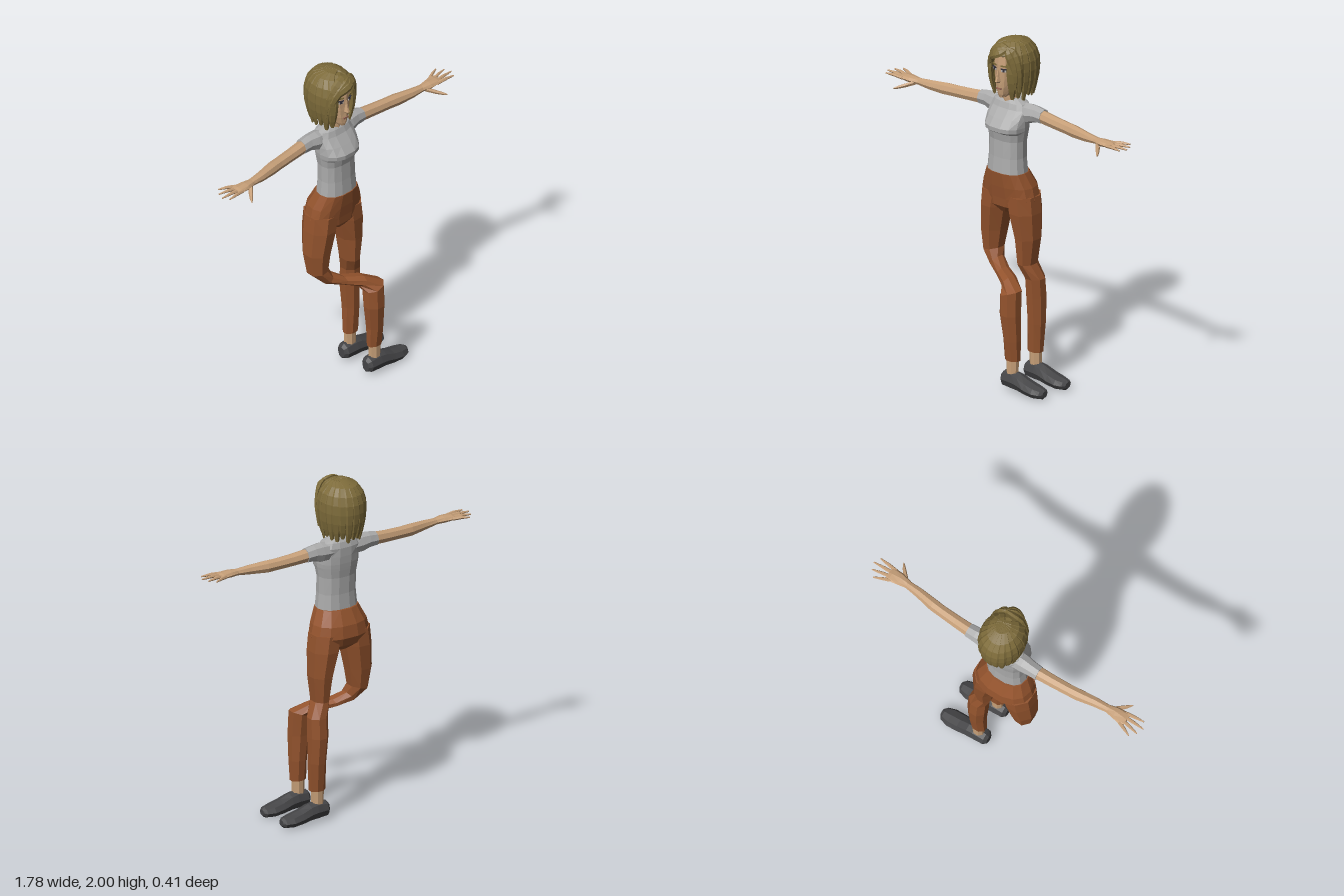
import * as THREE from 'three';

const V = (x, y, z) => new THREE.Vector3(x, y, z);
const mat = (name, color) => {
  const m = new THREE.MeshStandardMaterial({ color });
  m.name = name;
  return m;
};

// Faceted closed solid from loops of points; the winding is set from the signed volume
function solid(loops) {
  const tris = [];
  const n = loops[0].length;
  for (let i = 0; i + 1 < loops.length; i++) {
    for (let j = 0; j < n; j++) {
      const k = (j + 1) % n, a = loops[i], b = loops[i + 1];
      tris.push([a[j], b[j], a[k]], [a[k], b[j], b[k]]);
    }
  }
  const cap = (loop, flip) => {
    const c = loop.reduce((s, p) => s.add(p), V(0, 0, 0)).divideScalar(n);
    loop.forEach((p, j) => {
      const q = loop[(j + 1) % n];
      tris.push(flip ? [c, q, p] : [c, p, q]);
    });
  };
  cap(loops[0], false);
  cap(loops[loops.length - 1], true);
  let volume = 0;
  tris.forEach(([a, b, c]) => { volume += a.dot(b.clone().cross(c)); });
  const pts = tris.flatMap(([a, b, c]) => (volume < 0 ? [a, c, b] : [a, b, c]));
  const g = new THREE.BufferGeometry().setFromPoints(pts);
  g.computeVertexNormals();
  return g;
}

const angles = n => Array.from({ length: n }, (_, j) => (j / n) * Math.PI * 2);
const pow = (v, q) => Math.sign(v) * Math.abs(v) ** q;

// Upright body ring: height, half width, depth centre, front depth, back depth
const bodyLoft = (rows, n = 12, q = 1) => solid(rows.map(([y, rx, cz, zf, zb]) =>
  angles(n).map(a => {
    const s = pow(Math.sin(a), q);
    return V(pow(Math.cos(a), q) * rx, y, cz + s * (s > 0 ? zf : zb));
  })));

// Leg ring: centre, half width, half depth, tilt about z
const legLoft = rows => solid(rows.map(([x, y, z, rx, rz, t = 0]) =>
  angles(8).map(a => {
    const u = Math.cos(a + 0.39) * rx * 1.06;
    return V(x + u * Math.cos(t), y + u * Math.sin(t), z + Math.sin(a + 0.39) * rz * 1.06);
  })));

// Sideways ring: x, y centre, z centre, half height, half depth
const sideLoft = (rows, side = 1, n = 8) => solid(rows.map(([x, y, z, ry, rz]) =>
  angles(n).map(a => V(side * x, y + Math.sin(a) * ry, z + Math.cos(a) * rz))));

// Flat tapering hair lock following a curve around the head
function lockGeometry(points, width) {
  const curve = new THREE.CatmullRomCurve3(points);
  const loops = [];
  for (let i = 0; i <= 8; i++) {
    const t = i / 8, p = curve.getPoint(t);
    const out = p.clone().sub(V(0, 1.85, -0.05)).normalize();
    const across = curve.getTangent(t).cross(out).normalize();
    const w = width * (0.25 + 0.75 * Math.sin(Math.PI * (0.08 + 0.86 * t)));
    loops.push(angles(6).map(a => p.clone()
      .addScaledVector(across, w * Math.cos(a))
      .addScaledVector(out, 0.013 * Math.sin(a))));
  }
  return solid(loops);
}

export function createModel() {
  const root = new THREE.Group();
  root.name = 'woman';
  const skin = mat('skin', 0xc69f78), hairMat = mat('hair', 0x7d6b3a);
  const shirt = mat('shirt grey', 0xababab), pants = mat('trouser brown', 0x93532d);
  const shoe = mat('shoe grey', 0x454547), dark = mat('eye dark', 0x33303a);
  const white = mat('eye white', 0xb8b2ac), lip = mat('lip', 0x9c6a58);
  const add = (name, geometry, material, parent = root) => {
    const m = new THREE.Mesh(geometry, material);
    m.name = name;
    parent.add(m);
    return m;
  };

  // Torso
  add('shirtBody', bodyLoft([
    [1.225, 0.122, 0, 0.088, 0.088], [1.32, 0.113, 0, 0.08, 0.082],
    [1.42, 0.114, 0, 0.076, 0.085], [1.465, 0.122, 0, 0.085, 0.092],
    [1.48, 0.125, 0, 0.11, 0.094], [1.505, 0.128, 0, 0.112, 0.097],
    [1.55, 0.128, 0, 0.078, 0.1], [1.6, 0.13, -0.03, 0.068, 0.07],
    [1.632, 0.112, -0.03, 0.055, 0.06], [1.655, 0.06, -0.03, 0.035, 0.04],
  ], 14, 0.82), shirt);
  add('hips', bodyLoft([
    [0.99, 0.05, -0.02, 0.06, 0.06], [1.03, 0.15, -0.02, 0.09, 0.11],
    [1.08, 0.182, -0.02, 0.095, 0.13], [1.15, 0.165, -0.02, 0.105, 0.12],
    [1.232, 0.126, 0, 0.093, 0.1],
  ], 14, 0.85), pants);

  // Legs: the right one crosses in front of the left at the knee
  add('leftTrouserLeg', legLoft([
    [0.09, 1.1, -0.03, 0.09, 0.1], [0.105, 1, -0.03, 0.085, 0.1],
    [0.125, 0.85, -0.03, 0.066, 0.082], [0.125, 0.7, -0.025, 0.046, 0.065],
    [0.158, 0.615, -0.05, 0.056, 0.056], [0.16, 0.5, -0.058, 0.056, 0.058],
    [0.165, 0.35, -0.055, 0.05, 0.05], [0.16, 0.18, -0.05, 0.046, 0.036],
  ]), pants);
  add('rightTrouserLeg', legLoft([
    [-0.09, 1.1, -0.03, 0.09, 0.1], [-0.105, 1, -0.03, 0.085, 0.1],
    [-0.125, 0.85, -0.03, 0.073, 0.082], [-0.125, 0.73, -0.025, 0.055, 0.065, 0.2],
    [-0.08, 0.67, 0, 0.036, 0.05, 0.9], [0, 0.635, 0.04, 0.024, 0.05, 1.3],
    [0.09, 0.615, 0.09, 0.032, 0.055, 1.1], [0.148, 0.575, 0.137, 0.062, 0.06, 0.3],
    [0.15, 0.45, 0.145, 0.06, 0.056], [0.16, 0.3, 0.14, 0.05, 0.046],
    [0.16, 0.18, 0.137, 0.046, 0.034],
  ]), pants);

  // Ankles and shoes, toes pointing to +x
  [['left', -0.053], ['right', 0.137]].forEach(([name, z]) => {
    add(name + 'Ankle', legLoft([[0.16, 0.07, z, 0.034, 0.03], [0.16, 0.19, z, 0.036, 0.03]]), skin);
    add(name + 'Shoe', sideLoft([
      [0.092, 0.06, z, 0.034, 0.025], [0.11, 0.063, z, 0.048, 0.045],
      [0.18, 0.064, z, 0.054, 0.05], [0.22, 0.06, z, 0.05, 0.051],
      [0.28, 0.045, z, 0.042, 0.055], [0.34, 0.036, z, 0.036, 0.055],
      [0.385, 0.034, z, 0.03, 0.04], [0.4, 0.036, z, 0.018, 0.02],
    ]), shoe);
  });

  // Arms and hands
  [['left', 1], ['right', -1]].forEach(([name, s]) => {
    add(name + 'Sleeve', sideLoft([
      [0.07, 1.58, -0.035, 0.055, 0.055], [0.13, 1.582, -0.038, 0.058, 0.052],
      [0.18, 1.588, -0.042, 0.048, 0.045], [0.232, 1.585, -0.042, 0.042, 0.042],
    ], s), shirt);
    add(name + 'Arm', sideLoft([
      [0.2, 1.586, -0.042, 0.039, 0.039], [0.32, 1.577, -0.035, 0.036, 0.036],
      [0.42, 1.572, -0.028, 0.035, 0.034], [0.48, 1.57, -0.022, 0.036, 0.035],
      [0.58, 1.57, -0.007, 0.028, 0.029], [0.67, 1.572, 0, 0.018, 0.023],
    ], s), skin);
    const hand = new THREE.Group();
    hand.name = name + 'Hand';
    root.add(hand);
    add('palm', sideLoft([
      [0.655, 1.572, 0, 0.018, 0.023], [0.71, 1.574, 0.002, 0.02, 0.036],
      [0.765, 1.576, -0.002, 0.015, 0.042], [0.785, 1.577, -0.003, 0.009, 0.037],
    ], s), skin, hand);
    // Fingers: root z, tip x, tip z
    [[-0.033, 0.845, -0.072], [-0.012, 0.875, -0.037], [0.01, 0.89, 0.004], [0.03, 0.87, 0.042]]
      .forEach(([z, tx, tz]) => add('finger', sideLoft([
        [0.755, 1.575, z, 0.01, 0.011], [(0.755 + tx) / 2, 1.58, (z + tz) / 2, 0.009, 0.01],
        [tx, 1.578, tz, 0.004, 0.004],
      ], s, 6), skin, hand));
    add('thumb', sideLoft([
      [0.675, 1.565, 0.01, 0.015, 0.016], [0.715, 1.548, 0.05, 0.013, 0.018],
      [0.745, 1.538, 0.085, 0.009, 0.012], [0.758, 1.535, 0.102, 0.004, 0.005],
    ], s, 6), skin, hand);
  });

  // Head
  const head = new THREE.Group();
  head.name = 'head';
  root.add(head);
  add('neck', bodyLoft([
    [1.62, 0.055, -0.025, 0.045, 0.045], [1.66, 0.04, -0.02, 0.042, 0.045],
    [1.74, 0.04, -0.025, 0.045, 0.045],
  ], 8), skin, head);
  add('face', bodyLoft([
    [1.672, 0.02, 0.035, 0.03, 0.025], [1.69, 0.037, 0, 0.072, 0.04],
    [1.73, 0.055, -0.02, 0.098, 0.06], [1.78, 0.067, -0.02, 0.099, 0.09],
    [1.83, 0.075, -0.02, 0.1, 0.1], [1.87, 0.078, -0.02, 0.1, 0.1],
    [1.92, 0.073, -0.02, 0.094, 0.09], [1.96, 0.045, -0.02, 0.06, 0.06],
  ]), skin, head);
  add('nose', bodyLoft([
    [1.762, 0.009, 0.075, 0.012, 0.01], [1.772, 0.014, 0.075, 0.028, 0.01],
    [1.8, 0.009, 0.075, 0.017, 0.01], [1.845, 0.006, 0.073, 0.009, 0.01],
  ], 6), skin, head);
  const plate = (name, w, h, x, y, z, turn, m) => {
    const p = add(name, new THREE.BoxGeometry(w, h, 0.008), m, head);
    p.position.set(x, y, z);
    p.rotation.y = turn;
  };
  [-1, 1].forEach(s => {
    plate('eyeWhite', 0.03, 0.014, s * 0.033, 1.838, 0.0685, s * 0.34, white);
    plate('iris', 0.013, 0.014, s * 0.033, 1.838, 0.0705, s * 0.34, dark);
    plate('eyelash', 0.034, 0.005, s * 0.033, 1.847, 0.0705, s * 0.34, dark);
    plate('eyebrow', 0.038, 0.007, s * 0.034, 1.864, 0.0695, s * 0.34, hairMat);
  });
  plate('mouth', 0.032, 0.01, 0, 1.727, 0.074, 0, lip);

  // Hair: inner cap with overlapping locks
  const hair = new THREE.Group();
  hair.name = 'hair';
  head.add(hair);
  add('hairCap', bodyLoft([
    [1.71, 0.085, -0.07, 0.045, 0.06], [1.8, 0.106, -0.07, 0.06, 0.11],
    [1.88, 0.108, -0.07, 0.085, 0.12], [1.925, 0.102, -0.07, 0.155, 0.108],
    [1.96, 0.08, -0.06, 0.125, 0.085], [1.985, 0.04, -0.04, 0.06, 0.045],
  ], 14), hairMat, hair);
  const profile = [[0.5, 1.973], [0.86, 1.915], [0.95, 1.84], [0.91, 1.755]];
  for (let i = 0; i < 17; i++) {
    const a = THREE.MathUtils.degToRad(43 + (274 * i) / 16);
    const at = (f, y) => V(0.125 * f * Math.sin(a), y, -0.05 + 0.152 * f * Math.cos(a));
    const end = 1.675 + 0.012 * Math.sin(i * 2.4);
    const points = [V(0.02, 1.984, -0.02), ...profile.map(([f, y]) => at(f, y)), at(0.77, end)];
    add('hairLock', lockGeometry(points, 0.032), hairMat, hair);
  }
  // Fringe swept from a parting on the left
  const part = V(0.045, 1.965, 0.05);
  [
    [V(0, 1.955, 0.078), V(-0.05, 1.915, 0.075), V(-0.085, 1.85, 0.055), V(-0.088, 1.76, 0.04)],
    [V(0, 1.972, 0.05), V(-0.055, 1.942, 0.055), V(-0.095, 1.87, 0.035), V(-0.1, 1.75, 0.02)],
    [V(0.02, 1.945, 0.088), V(-0.02, 1.93, 0.09), V(-0.06, 1.9, 0.07), V(-0.085, 1.84, 0.045)],
    [V(0.065, 1.94, 0.065), V(0.085, 1.89, 0.055), V(0.095, 1.82, 0.045), V(0.088, 1.74, 0.04)],
    [V(0.075, 1.95, 0.04), V(0.1, 1.89, 0.035), V(0.108, 1.81, 0.025), V(0.1, 1.72, 0.015)],
  ].forEach(p => add('fringeLock', lockGeometry([part, ...p], 0.026), hairMat, hair));
  return root;
}
